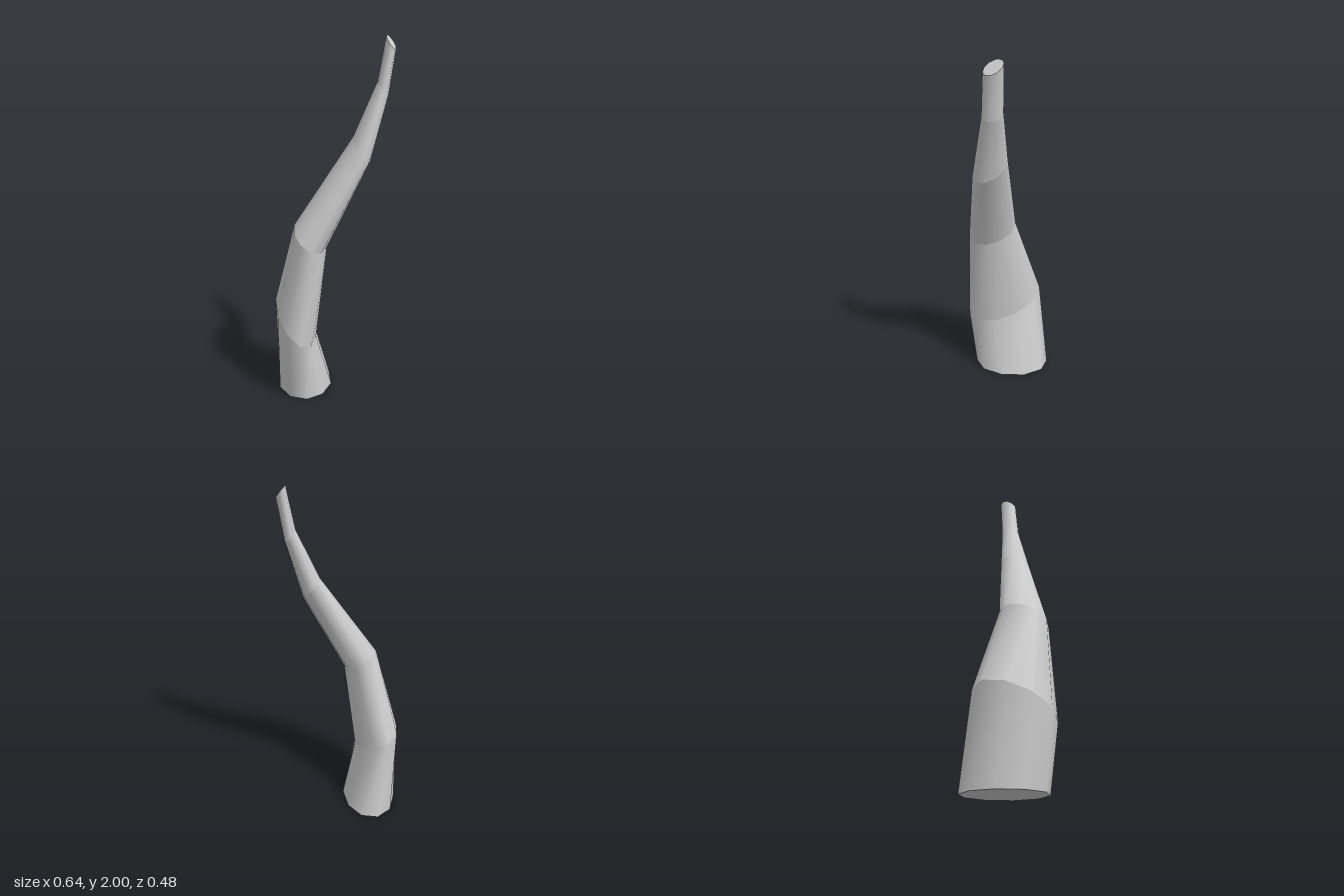
import * as THREE from 'three';

const SIDES = 10;

// Tilted elliptical sections: centre, two conjugate radii (x, z), and slope of y along x and z
const SECTIONS = [
  { c: [-0.143, 0, -0.02], p: [0.043, -0.22], q: [-0.158, -0.02], slope: [0, 0] },
  { c: [-0.204, 0.43, 0.018], p: [0.026, -0.218], q: [-0.112, -0.016], slope: [-0.6, -0.42] },
  { c: [-0.132, 0.943, 0.097], p: [0.03, -0.132], q: [-0.093, -0.008], slope: [-0.434, -0.456] },
  { c: [0.14, 1.42, 0.143], p: [0.02, -0.091], q: [-0.045, -0.007], slope: [-1.07, -0.71] },
  { c: [0.252, 1.735, 0.143], p: [0.012, -0.053], q: [-0.03, -0.004], slope: [-0.95, -0.4] },
  { c: [0.292, 1.966, 0.142], p: [0.012, -0.049], q: [-0.027, -0.001], slope: [-0.96, -0.7] },
];

// Corner points of one section, counter-clockwise from above
function ring({ c, p, q, slope }) {
  return Array.from({ length: SIDES }, (_, i) => {
    const t = (i / SIDES) * Math.PI * 2;
    const dx = p[0] * Math.cos(t) + q[0] * Math.sin(t);
    const dz = p[1] * Math.cos(t) + q[1] * Math.sin(t);
    return [c[0] + dx, c[1] + slope[0] * dx + slope[1] * dz, c[2] + dz];
  });
}

function build(name, points, index, material) {
  const geometry = new THREE.BufferGeometry();
  geometry.setAttribute('position', new THREE.Float32BufferAttribute(points.flat(), 3));
  geometry.setIndex(index);
  geometry.computeVertexNormals();
  const mesh = new THREE.Mesh(geometry, material);
  mesh.name = name;
  return mesh;
}

// One band between two sections: smooth around, creased where bands meet
function band(name, low, high, material) {
  const index = [];
  for (let i = 0; i < SIDES; i++) {
    const j = (i + 1) % SIDES;
    index.push(i, j, SIDES + j, i, SIDES + j, SIDES + i);
  }
  return build(name, [...low, ...high], index, material);
}

// Flat end face, facing up or down
function cap(name, points, up, material) {
  const index = [];
  for (let i = 1; i < SIDES - 1; i++) index.push(0, ...(up ? [i, i + 1] : [i + 1, i]));
  return build(name, points, index, material);
}

export function createModel() {
  const group = new THREE.Group();
  group.name = 'curvedHorn';
  const material = new THREE.MeshStandardMaterial({ color: 0xcccccc });
  const rings = SECTIONS.map(ring);

  // Tapering, bending shaft
  for (let i = 0; i < rings.length - 1; i++) {
    group.add(band(`shaftSegment${i + 1}`, rings[i], rings[i + 1], material));
  }

  // Closed ends
  group.add(cap('baseEnd', rings[0], false, material));
  group.add(cap('tipEnd', rings[rings.length - 1], true, material));
  return group;
}
